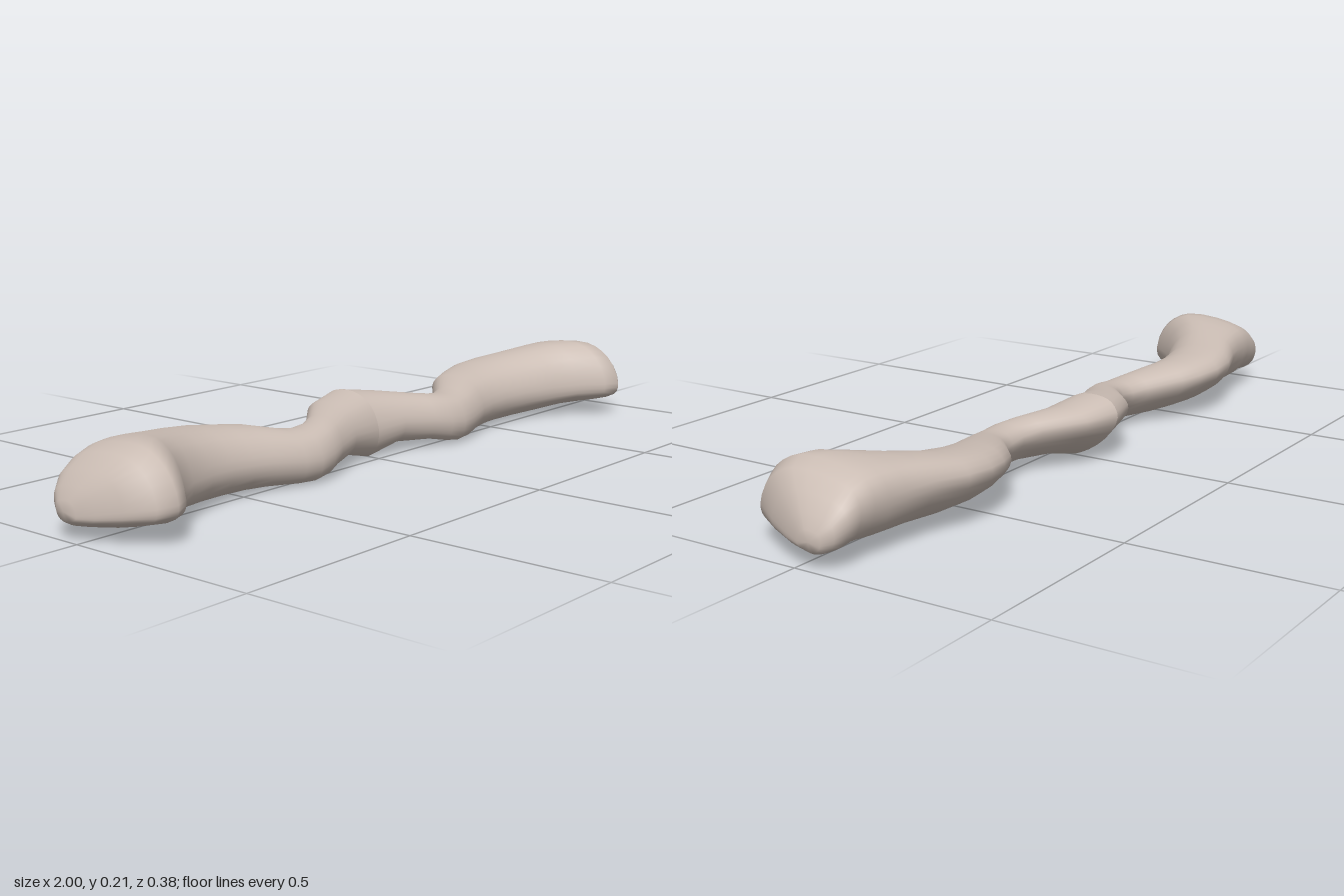
import * as THREE from 'three';

// Stations along one half: x, back z, front z, bottom y, top y, blend towards the end section
const STATIONS = [
  [0, -0.187, 0.0, 0.002, 0.17, 0],
  [0.1, -0.16, 0.01, 0.026, 0.155, 0],
  [0.19, -0.085, 0.042, 0.024, 0.142, 0],
  [0.24, -0.064, 0.06, 0.014, 0.135, 0],
  [0.29, -0.066, 0.065, 0.007, 0.13, 0],
  [0.34, -0.085, 0.058, 0.008, 0.135, 0],
  [0.42, -0.15, 0.035, 0.011, 0.152, 0],
  [0.48, -0.173, 0.023, 0.012, 0.158, 0],
  [0.55, -0.19, 0.02, 0.012, 0.166, 0],
  [0.63, -0.185, 0.032, 0.013, 0.175, 0.1],
  [0.72, -0.153, 0.065, 0.015, 0.19, 0.4],
  [0.79, -0.135, 0.11, 0.018, 0.202, 0.8],
  [0.84, -0.128, 0.168, 0.02, 0.208, 1],
  [0.88, -0.122, 0.188, 0.021, 0.205, 1],
  [0.92, -0.117, 0.165, 0.024, 0.188, 1],
  [0.955, -0.112, 0.1, 0.028, 0.155, 1],
  [0.98, -0.095, 0.04, 0.033, 0.12, 1],
  [0.995, -0.07, -0.005, 0.042, 0.09, 1],
];

// Unit cross-sections (back to front, bottom to top), running back, top, front, bottom
const GRIP = [[0, 0.7], [0.1, 0.92], [0.32, 1], [0.62, 0.97], [0.86, 0.8], [1, 0.45],
  [0.95, 0.16], [0.8, 0], [0.58, 0.05], [0.2, 0.33]];
const END = [[0, 0.5], [0.04, 0.8], [0.2, 0.94], [0.65, 1], [0.88, 0.8], [1, 0.4],
  [0.96, 0.22], [0.65, 0.06], [0.4, 0], [0.1, 0.18]];
const RING = 30;

// Smooth closed outline between the two sections
function section(blend) {
  const pts = GRIP.map(([u, v], i) => new THREE.Vector3(
    THREE.MathUtils.lerp(u, END[i][0], blend), THREE.MathUtils.lerp(v, END[i][1], blend), 0));
  const curve = new THREE.CatmullRomCurve3(pts, true);
  return Array.from({ length: RING }, (_, j) => curve.getPoint(j / RING));
}

// Loft one half; side is 1 for left (+x) and -1 for right
function halfGeometry(side) {
  const pos = [], index = [];
  const tri = (a, b, c) => (side > 0 ? index.push(a, b, c) : index.push(a, c, b));
  for (const [x, zb, zf, y0, y1, blend] of STATIONS) {
    for (const p of section(blend)) {
      pos.push(side * x, y0 + (y1 - y0) * p.y, zb + (zf - zb) * p.x);
    }
  }
  for (let i = 0; i < STATIONS.length - 1; i++) {
    for (let j = 0; j < RING; j++) {
      const a = i * RING + j, b = i * RING + (j + 1) % RING;
      tri(a, b, b + RING);
      tri(a, b + RING, a + RING);
    }
  }
  // Rounded outer tip
  const last = (STATIONS.length - 1) * RING, tip = pos.length / 3;
  pos.push(side, 0.066, -0.04);
  for (let j = 0; j < RING; j++) tri(tip, last + j, last + (j + 1) % RING);

  const geo = new THREE.BufferGeometry();
  geo.setAttribute('position', new THREE.Float32BufferAttribute(pos, 3));
  geo.setIndex(index);
  geo.computeVertexNormals();
  return geo;
}

export function createModel() {
  const group = new THREE.Group();
  group.name = 'wavyBar';
  const bone = new THREE.MeshStandardMaterial({ color: 0xcbbdb4 });
  bone.name = 'paleBone';
  for (const [name, side] of [['leftHalf', 1], ['rightHalf', -1]]) {
    const mesh = new THREE.Mesh(halfGeometry(side), bone);
    mesh.name = name;
    group.add(mesh);
  }
  return group;
}
